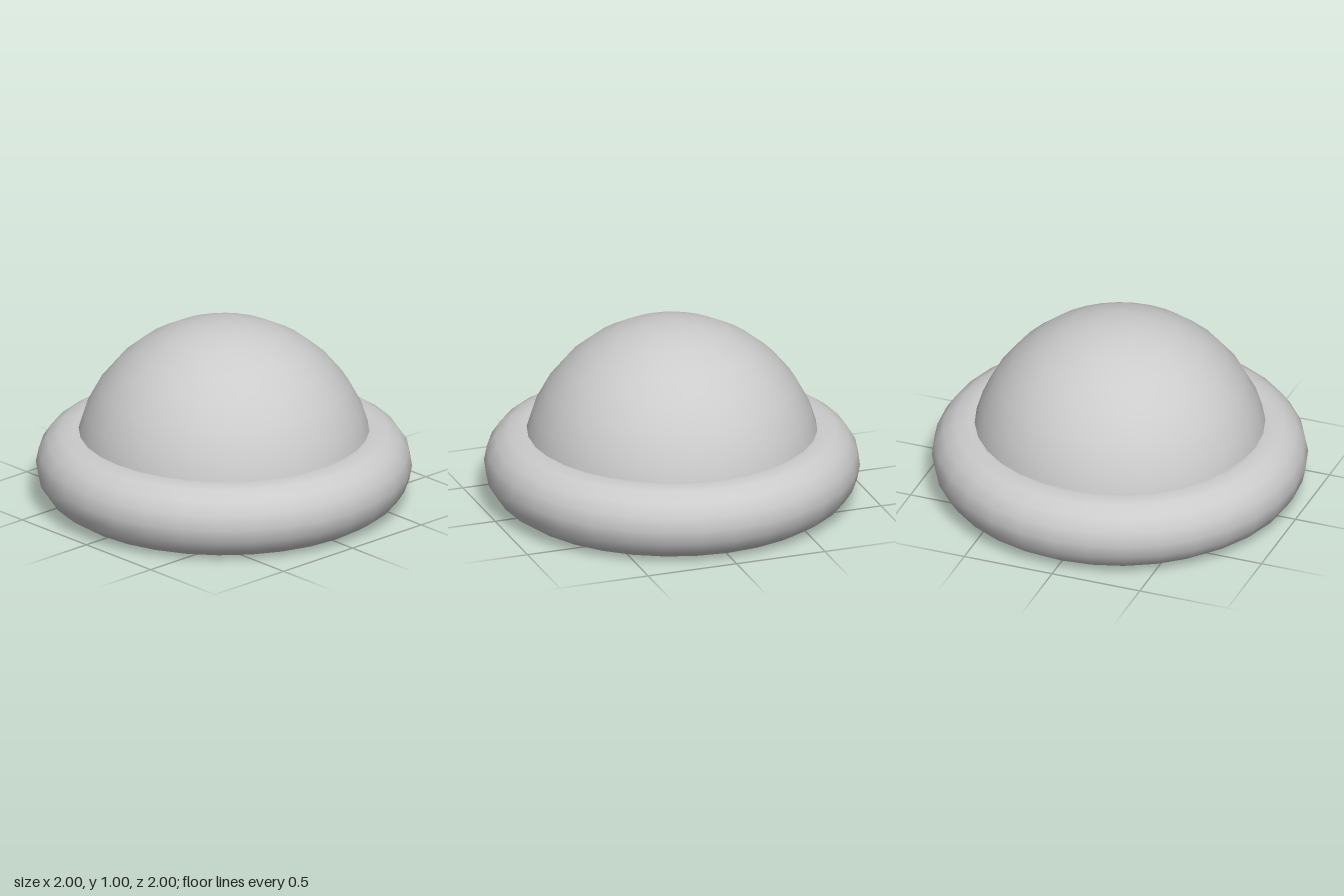
import * as THREE from 'three';

export function createModel() {
  const group = new THREE.Group();
  const ringRadius = 0.8;
  const tubeRadius = 0.2;

  // Thick rounded ring lying on the ground
  const ring = new THREE.Mesh(
    new THREE.TorusGeometry(ringRadius, tubeRadius, 16, 32).rotateX(-Math.PI / 2),
    new THREE.MeshStandardMaterial({ color: 0xcccccc })
  );
  ring.name = 'baseRing';
  ring.position.y = tubeRadius;

  // Open hollow dome, its rim buried in the middle of the ring
  const dome = new THREE.Mesh(
    new THREE.SphereGeometry(ringRadius, 32, 8, 0, Math.PI * 2, 0, Math.PI / 2),
    new THREE.MeshStandardMaterial({ color: 0xcccccc, side: THREE.DoubleSide })
  );
  dome.name = 'dome';
  dome.position.y = tubeRadius;

  group.add(ring, dome);
  return group;
}
